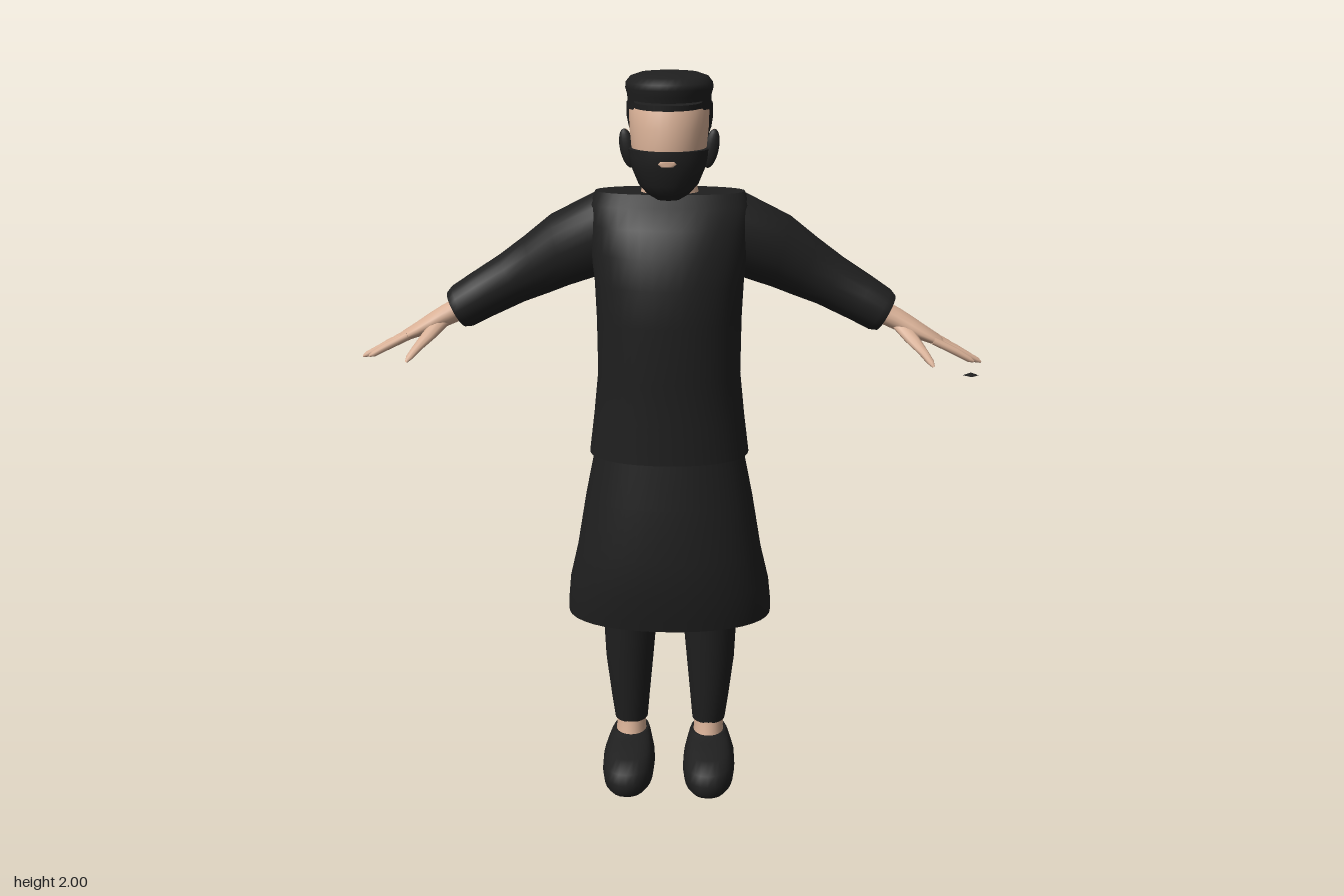
import * as THREE from 'three';

const black = new THREE.MeshStandardMaterial({ color: 0x1f1f1f });
black.name = 'black cloth';
const skin = new THREE.MeshStandardMaterial({ color: 0xd8b096 });
skin.name = 'skin';

// Horizontal section: height, half width, front z, back z, centre x
const flat = (y, rx, zf, zb, x = 0) => [x, y, (zf + zb) / 2, rx, (zf - zb) / 2, 0];

// Closed skin over oval sections [x, y, z, radiusA, radiusZ, tilt in degrees]
function loft(sections, { n = 24, power = 2 } = {}) {
  const pos = [], idx = [];
  const round = v => Math.sign(v) * Math.abs(v) ** (2 / power);
  const ring = ([x, y, z, ra, rb, tilt]) => {
    const start = pos.length / 3, t = tilt * Math.PI / 180;
    for (let i = 0; i < n; i++) {
      const a = i / n * Math.PI * 2, u = ra * round(Math.cos(a)), v = rb * round(Math.sin(a));
      pos.push(x + u * Math.cos(t), y + u * Math.sin(t), z + v);
    }
    return start;
  };
  const starts = sections.map(ring);
  for (let s = 0; s + 1 < starts.length; s++) {
    for (let i = 0; i < n; i++) {
      const j = (i + 1) % n, a = starts[s], b = starts[s + 1];
      idx.push(a + i, b + i, a + j, a + j, b + i, b + j);
    }
  }
  // end caps with their own rims
  [sections[0], sections[sections.length - 1]].forEach((sec, end) => {
    const r = ring(sec), c = pos.length / 3;
    pos.push(sec[0], sec[1], sec[2]);
    for (let i = 0; i < n; i++) {
      const j = (i + 1) % n;
      if (end) idx.push(c, r + j, r + i); else idx.push(c, r + i, r + j);
    }
  });
  // turn every face outward
  let volume = 0;
  const p = k => new THREE.Vector3(pos[3 * k], pos[3 * k + 1], pos[3 * k + 2]);
  const o = p(0);
  for (let k = 0; k < idx.length; k += 3) {
    volume += p(idx[k]).sub(o).dot(p(idx[k + 1]).sub(o).cross(p(idx[k + 2]).sub(o)));
  }
  if (volume < 0) idx.reverse();
  const g = new THREE.BufferGeometry();
  g.setAttribute('position', new THREE.Float32BufferAttribute(pos, 3));
  g.setIndex(idx);
  g.computeVertexNormals();
  return g;
}

export function createModel() {
  const model = new THREE.Group();
  const add = (name, geometry, material) => {
    const m = new THREE.Mesh(geometry, material);
    m.name = name;
    model.add(m);
    return m;
  };

  // Robe
  add('skirt', loft([
    flat(0.5, 0.285, 0.18, -0.2), flat(0.53, 0.285, 0.185, -0.197), flat(0.6, 0.278, 0.197, -0.185),
    flat(0.7, 0.255, 0.203, -0.17), flat(0.85, 0.23, 0.188, -0.15), flat(1.0, 0.2, 0.17, -0.135),
  ], { n: 40, power: 2.2 }), black);
  add('tunic', loft([
    flat(0.975, 0.218, 0.178, -0.145), flat(1.08, 0.205, 0.178, -0.137), flat(1.2, 0.193, 0.181, -0.133),
    flat(1.35, 0.195, 0.19, -0.15), flat(1.45, 0.2, 0.184, -0.158), flat(1.53, 0.21, 0.165, -0.155),
    flat(1.6, 0.213, 0.135, -0.148), flat(1.65, 0.215, 0.09, -0.132), flat(1.683, 0.2, 0.06, -0.118),
  ], { n: 40, power: 2.2 }), black);

  // Head and neck
  add('neck', loft([
    flat(1.66, 0.085, 0.05, -0.085), flat(1.69, 0.075, 0.045, -0.076),
    flat(1.74, 0.066, 0.04, -0.07), flat(1.84, 0.07, 0.04, -0.075),
  ]), skin);
  add('head', loft([
    flat(1.69, 0.04, 0.11, 0.03), flat(1.71, 0.065, 0.13, 0), flat(1.75, 0.085, 0.142, -0.03),
    flat(1.8, 0.098, 0.149, -0.08), flat(1.86, 0.104, 0.146, -0.09), flat(1.91, 0.105, 0.132, -0.094),
    flat(1.96, 0.09, 0.11, -0.08),
  ], { n: 32 }), skin);
  add('beard', loft([
    flat(1.675, 0.03, 0.105, 0.045), flat(1.69, 0.055, 0.124, 0.025), flat(1.715, 0.078, 0.14, 0.005),
    flat(1.76, 0.097, 0.15, -0.005), flat(1.785, 0.102, 0.153, -0.012), flat(1.806, 0.104, 0.153, -0.014),
  ], { n: 32, power: 2.1 }), black);
  add('mouth', loft([
    flat(1.768, 0.016, 0.158, 0.146), flat(1.775, 0.024, 0.158, 0.146), flat(1.781, 0.018, 0.158, 0.146),
  ], { n: 16 }), skin);
  add('hair', loft([
    flat(1.78, 0.07, -0.045, -0.093), flat(1.81, 0.094, -0.005, -0.1), flat(1.85, 0.109, 0.03, -0.104),
    flat(1.88, 0.114, 0.06, -0.105), flat(1.92, 0.113, 0.1, -0.105),
  ], { n: 32 }), black);

  // Flat-topped cap with a short peak
  add('cap', loft([
    flat(1.905, 0.109, 0.128, -0.104), flat(1.94, 0.11, 0.134, -0.107), flat(1.958, 0.115, 0.142, -0.112),
    flat(1.972, 0.114, 0.138, -0.112), flat(1.987, 0.102, 0.116, -0.098), flat(1.996, 0.075, 0.08, -0.068),
    flat(2.0, 0.03, 0.03, -0.025),
  ], { n: 36 }), black);
  const peak = add('capPeak', new THREE.CylinderGeometry(1, 1, 0.014, 32), black);
  peak.scale.set(0.088, 1, 0.08);
  peak.position.set(0, 1.921, 0.092);
  peak.rotation.x = 0.05;

  for (const s of [1, -1]) {
    const side = s > 0 ? 'left' : 'right';
    const limb = (name, sections, material, options) => add(
      side + name,
      loft(sections.map(([x, y, z, a, b, t]) => [s * x, y, z, a, b, s * t]), options),
      material);

    // Ears with dark sideburns in front
    const ear = add(side + 'Ear', new THREE.SphereGeometry(1, 16, 12), skin);
    ear.scale.set(0.016, 0.04, 0.02);
    ear.position.set(s * 0.111, 1.81, -0.004);
    ear.rotation.z = -s * 0.2;
    const burn = add(side + 'Sideburn', new THREE.SphereGeometry(1, 16, 12), black);
    burn.scale.set(0.02, 0.052, 0.012);
    burn.position.set(s * 0.11, 1.8, 0.016);
    burn.rotation.z = -s * 0.2;

    // Sleeve
    limb('Sleeve', [
      [0.13, 1.565, -0.03, 0.112, 0.085, 90], [0.2, 1.562, -0.042, 0.114, 0.094, 88],
      [0.3, 1.515, -0.065, 0.1, 0.087, 76], [0.365, 1.472, -0.08, 0.085, 0.08, 66],
      [0.435, 1.432, -0.086, 0.073, 0.072, 61], [0.52, 1.386, -0.075, 0.066, 0.066, 62],
      [0.57, 1.358, -0.062, 0.062, 0.061, 62], [0.588, 1.348, -0.06, 0.053, 0.053, 62],
    ], black);

    // Hand, fingers and thumb
    limb('Hand', [
      [0.56, 1.36, -0.058, 0.032, 0.035, 60], [0.61, 1.336, -0.055, 0.03, 0.036, 60],
      [0.65, 1.316, -0.05, 0.026, 0.044, 62], [0.69, 1.296, -0.046, 0.02, 0.047, 62],
      [0.73, 1.277, -0.045, 0.014, 0.045, 62], [0.742, 1.271, -0.045, 0.008, 0.038, 62],
    ], skin, { n: 16 });
    [[-0.08, -0.088, 0.795, 1.238], [-0.057, -0.061, 0.832, 1.224],
      [-0.033, -0.033, 0.848, 1.219], [-0.01, -0.003, 0.825, 1.227]].forEach(([z0, z1, x, y], i) => {
      limb('Finger' + (i + 1), [
        [0.715, 1.283, z0, 0.011, 0.012, 62],
        [(0.725 + x) / 2, (1.281 + y) / 2, (z0 + z1) / 2, 0.0105, 0.0115, 62],
        [x - 0.012, y + 0.006, z1, 0.008, 0.009, 62], [x, y, z1, 0.003, 0.004, 62],
      ], skin, { n: 10 });
    });
    limb('Thumb', [
      [0.625, 1.322, -0.035, 0.022, 0.018, 20], [0.655, 1.29, 0.005, 0.019, 0.019, 20],
      [0.683, 1.262, 0.04, 0.013, 0.015, 20], [0.7, 1.242, 0.065, 0.01, 0.011, 20],
      [0.708, 1.231, 0.077, 0.004, 0.005, 20],
    ], skin, { n: 10 });

    // Trouser leg, ankle and shoe
    limb('TrouserLeg', [
      flat(0.15, 0.047, 0.014, -0.096, 0.112), flat(0.22, 0.055, 0.024, -0.102, 0.114),
      flat(0.34, 0.068, 0.034, -0.114, 0.116), flat(0.5, 0.079, 0.045, -0.124, 0.113),
      flat(0.62, 0.083, 0.05, -0.125, 0.11),
    ], black);
    limb('Ankle', [
      flat(0.09, 0.046, 0.03, -0.088, 0.112), flat(0.125, 0.042, 0.018, -0.086, 0.112),
      flat(0.17, 0.042, 0.012, -0.088, 0.112),
    ], skin);
    limb('Shoe', [
      flat(0, 0.06, 0.185, -0.095, 0.115), flat(0.012, 0.07, 0.196, -0.106, 0.115),
      flat(0.04, 0.074, 0.2, -0.11, 0.115), flat(0.068, 0.072, 0.187, -0.11, 0.115),
      flat(0.09, 0.064, 0.135, -0.11, 0.114), flat(0.105, 0.056, 0.055, -0.108, 0.113),
      flat(0.115, 0.05, 0.022, -0.102, 0.112),
    ], black, { n: 28, power: 2.4 });
  }

  // Small dark chip floating below the left fingertips
  const chip = add('looseChip', new THREE.ConeGeometry(0.022, 0.008, 4), black);
  chip.position.set(0.825, 1.181, -0.05);

  return model;
}
